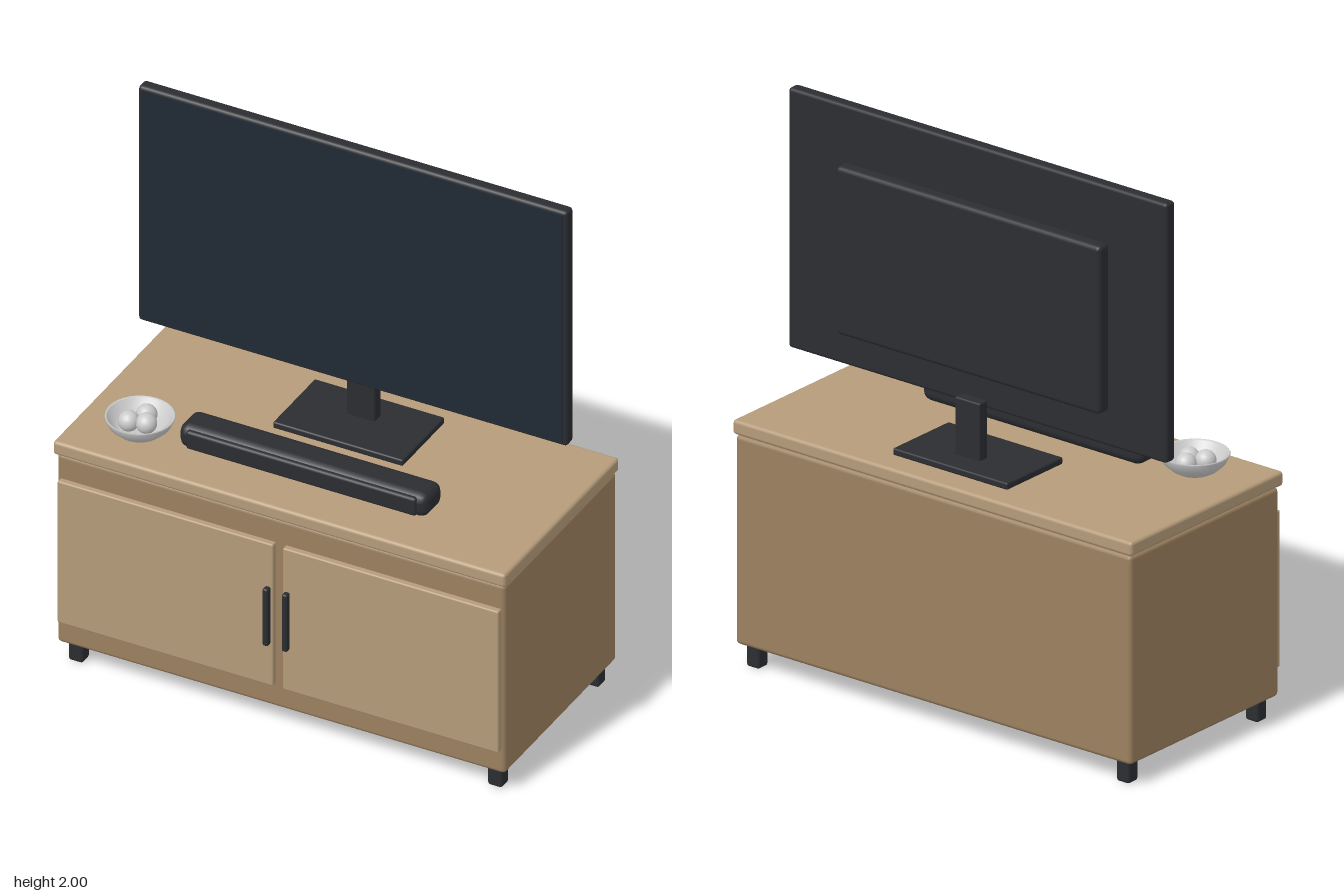
import * as THREE from 'three';
import { RoundedBoxGeometry } from 'three/addons/geometries/RoundedBoxGeometry.js';

const mat = (color, side = THREE.FrontSide) => new THREE.MeshStandardMaterial({ color, side });

export function createModel() {
  const model = new THREE.Group();
  model.name = 'televisionStand';

  const wood = mat(0x9b805f);
  const paleWood = mat(0xb59b7a);
  const black = mat(0x2b2d31);
  const glass = mat(0x202a33);
  const grey = mat(0xcccccc);
  const greyOpen = mat(0xcccccc, THREE.DoubleSide);

  // Rounded box given by its extents: [min, max] on each axis
  function block(name, x, y, z, radius, material, parent = model) {
    const size = [x, y, z].map(([a, b]) => b - a);
    const mesh = new THREE.Mesh(new RoundedBoxGeometry(...size, 2, radius), material);
    mesh.position.set((x[0] + x[1]) / 2, (y[0] + y[1]) / 2, (z[0] + z[1]) / 2);
    mesh.name = name;
    parent.add(mesh);
    return mesh;
  }

  // Cabinet
  const cabinet = new THREE.Group();
  cabinet.name = 'cabinet';
  model.add(cabinet);
  block('cabinetBody', [-0.838, 0.838], [0.08, 0.826], [-0.41, 0.37], 0.015, wood, cabinet);
  block('cabinetTop', [-0.846, 0.846], [0.828, 0.88], [-0.415, 0.385], 0.012, paleWood, cabinet);

  // Doors, handles and legs, mirrored
  for (const s of [-1, 1]) {
    const side = s < 0 ? 'right' : 'left';
    const span = (a, b) => (s < 0 ? [-b, -a] : [a, b]);
    block(side + 'Door', span(0.018, 0.825), [0.173, 0.733], [0.365, 0.392], 0.006, paleWood, cabinet);
    block(side + 'Handle', span(0.026, 0.046), [0.34, 0.565], [0.389, 0.415], 0.006, black, cabinet);
    for (const [end, z] of [['Front', 0.316], ['Back', -0.36]]) {
      block(side + end + 'Leg', span(0.757, 0.811), [0, 0.085], [z - 0.026, z + 0.026], 0.01, black, cabinet);
    }
  }

  // Television
  const tv = new THREE.Group();
  tv.name = 'television';
  model.add(tv);
  block('frame', [-0.802, 0.802], [1.073, 2], [-0.177, -0.129], 0.012, black, tv);
  block('backHousing', [-0.56, 0.56], [1.2, 1.8], [-0.23, -0.172], 0.016, black, tv);
  block('neck', [-0.053, 0.053], [0.89, 1.11], [-0.23, -0.186], 0.006, black, tv);
  block('base', [-0.243, 0.243], [0.88, 0.905], [-0.32, -0.027], 0.006, black, tv);
  const screen = new THREE.Mesh(new THREE.BoxGeometry(1.575, 0.9, 0.006), glass);
  screen.position.set(0, 1.537, -0.129);
  screen.name = 'screen';
  tv.add(screen);

  // Soundbar
  block('soundbar', [-0.465, 0.465], [0.882, 0.972], [0.1, 0.226], 0.032, black);
  block('soundbarGrille', [-0.43, 0.43], [0.892, 0.962], [0.205, 0.234], 0.01, black);

  // Bowl with three balls
  const bowl = new THREE.Group();
  bowl.name = 'bowl';
  bowl.position.set(-0.618, 0.88, 0.2);
  model.add(bowl);
  const profile = [[0, 0], [0.06, 0], [0.078, 0.01], [0.105, 0.035], [0.118, 0.064], [0.115, 0.068],
    [0.108, 0.064], [0.092, 0.036], [0.065, 0.014], [0, 0.01]].map(p => new THREE.Vector2(...p));
  const dish = new THREE.Mesh(new THREE.LatheGeometry(profile, 32), greyOpen);
  dish.name = 'dish';
  bowl.add(dish);
  const ballGeometry = new THREE.SphereGeometry(0.036, 20, 14);
  [[0, -0.047], [-0.034, 0.015], [0.024, 0]].forEach(([x, z], i) => {
    const ball = new THREE.Mesh(ballGeometry, grey);
    ball.position.set(x, 0.043, z);
    ball.name = 'ball' + (i + 1);
    bowl.add(ball);
  });

  return model;
}
